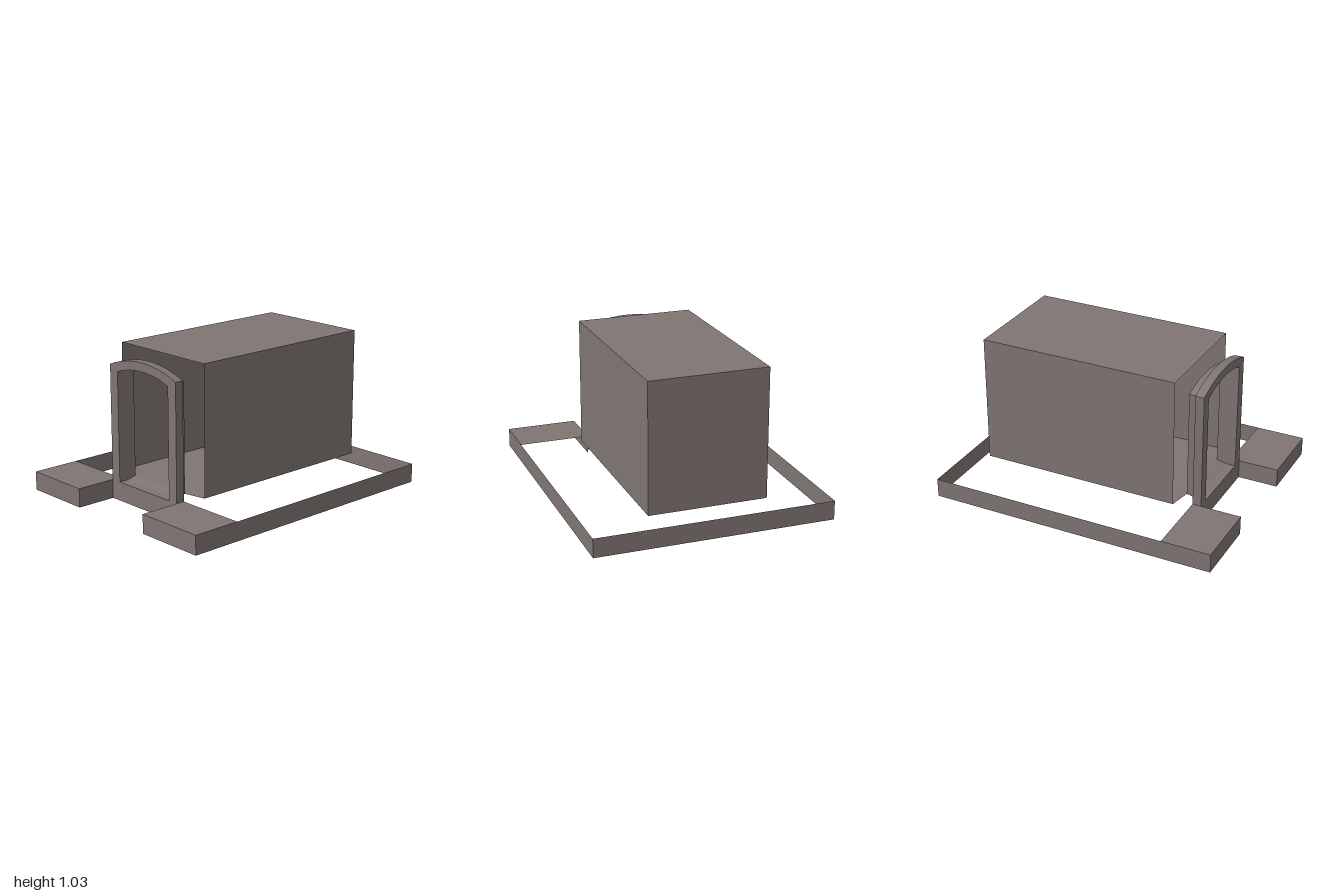
import * as THREE from 'three';

const stone = new THREE.MeshStandardMaterial({ color: 0x7f7573, side: THREE.DoubleSide, flatShading: true });
stone.name = 'stone';

const CX = -0.005; // centre line of the doorway and the chamber

// Sheet of quads joining two rows of [x, y, z] points
function strip(name, rowA, rowB) {
  const pos = [];
  for (let i = 0; i < rowA.length - 1; i++) {
    pos.push(...rowA[i], ...rowB[i], ...rowB[i + 1], ...rowA[i], ...rowB[i + 1], ...rowA[i + 1]);
  }
  const geo = new THREE.BufferGeometry();
  geo.setAttribute('position', new THREE.Float32BufferAttribute(pos, 3));
  geo.computeVertexNormals();
  const mesh = new THREE.Mesh(geo, stone);
  mesh.name = name;
  return mesh;
}

// Path up the right jamb, over a shallow round arch and down the left jamb
function archPath(half, bottom, spring, apex, steps = 12) {
  const rise = apex - spring;
  const radius = (half * half + rise * rise) / (2 * rise);
  const pts = [[CX - half, bottom]];
  for (let i = 0; i <= steps; i++) {
    const x = -half + (2 * half * i) / steps;
    pts.push([CX + x, apex - radius + Math.sqrt(radius * radius - x * x)]);
  }
  pts.push([CX + half, bottom]);
  return pts;
}

const atZ = (path, z) => path.map(([x, y]) => [x, y, z]);
const raise = (path, y) => path.map(([x, z]) => [x, y, z]);

export function createModel() {
  const model = new THREE.Group();
  model.name = 'stoneVault';

  // Thin border wall, open at the entrance, turning in beside the steps
  const W = 0.815, H = 0.13;
  const border = [
    [-0.33, 0.66], [-0.33, 1], [-W, 1], [-W, -1], [W, -1], [W, 1], [0.32, 1], [0.32, 0.66],
  ];
  model.add(strip('borderWall', raise(border, H), raise(border, 0)));

  // Flat tops of the two front corners
  for (const [name, a, b] of [['rightCornerTop', -W, -0.33], ['leftCornerTop', 0.32, W]]) {
    model.add(strip(name, [[a, H, 1], [b, H, 1]], [[a, H, 0.66], [b, H, 0.66]]));
  }

  // Chamber: hollow, open toward the doorway
  const half = 0.405, y0 = 0.145, y1 = 1.03, zb = -0.835, zf = 0.555;
  const l = CX - half, r = CX + half;
  const shell = [[l, y0], [l, y1], [r, y1], [r, y0], [l, y0]];
  model.add(strip('chamberShell', atZ(shell, zf), atZ(shell, zb)));
  model.add(strip('chamberBack', [[r, y0, zb], [l, y0, zb]], [[r, y1, zb], [l, y1, zb]]));

  // Doorway frame: arched face, outer rim and inner reveal
  const outer = archPath(0.325, 0, 0.925, 0.99);
  const inner = archPath(0.25, H, 0.885, 0.93);
  const face = new THREE.Shape(outer.map(([x, y]) => new THREE.Vector2(x, y)));
  face.holes.push(new THREE.Path(inner.map(([x, y]) => new THREE.Vector2(x, y))));
  const frame = new THREE.Mesh(new THREE.ShapeGeometry(face), stone);
  frame.name = 'doorFrameFace';
  frame.position.z = 0.72;
  model.add(frame);
  model.add(strip('doorFrameRim', atZ(outer, 0.72), atZ(outer, 0.66)));
  const innerBack = archPath(0.25, y0, 0.885, 0.93);
  model.add(strip('doorReveal', atZ(inner, 0.72), atZ(inner, 0.66)));
  model.add(strip('doorRevealBack', atZ(inner, 0.66), atZ(innerBack, 0.585)));

  // Sill rising to the chamber floor, then flaring to its full width
  const sill = [[0.25, H, 0.72], [0.25, H, 0.66], [0.25, y0, 0.585], [half, y0, zf]];
  model.add(strip('sill',
    sill.map(([h, y, z]) => [CX - h, y, z]),
    sill.map(([h, y, z]) => [CX + h, y, z])));

  return model;
}
